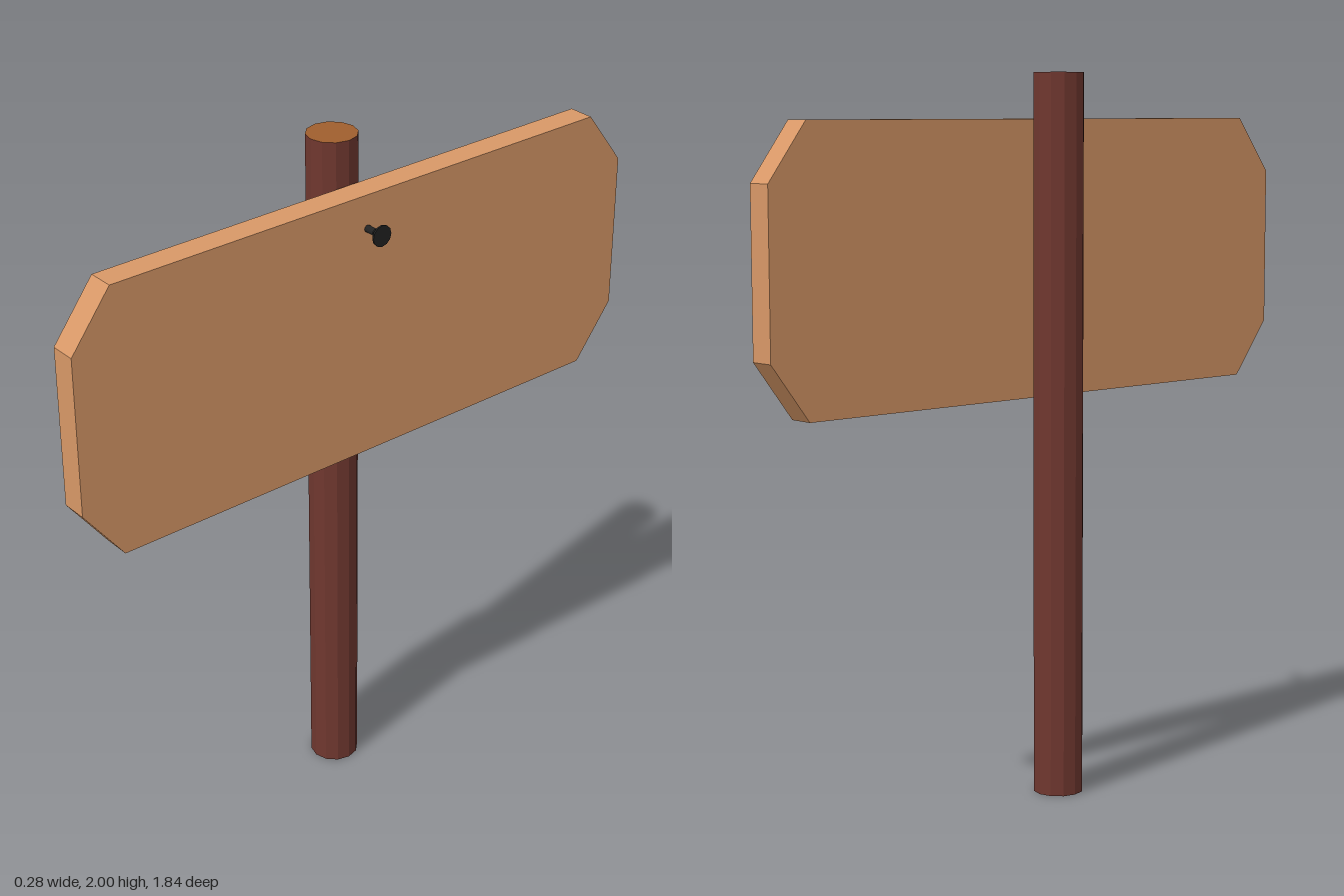
import * as THREE from 'three';

const mat = (name, color, flatShading = false) => {
  const m = new THREE.MeshStandardMaterial({ color });
  m.name = name;
  m.flatShading = flatShading;
  return m;
};

export function createModel() {
  const group = new THREE.Group();
  const bark = mat('dark red wood', 0x6f372f, true);
  const cutWood = mat('cut wood', 0xa05f2e, true);
  const plank = mat('light plank wood', 0xd89867, true);
  const iron = mat('black iron', 0x222222, true);

  const add = (name, geometry, material, x, y) => {
    const mesh = new THREE.Mesh(geometry, material);
    mesh.name = name;
    mesh.position.set(x, y, 0);
    group.add(mesh);
    return mesh;
  };

  // Round post with lighter cut ends
  add('post', new THREE.CylinderGeometry(0.07, 0.07, 2, 12), [bark, cutWood, cutWood], -0.07, 1);

  // Board with clipped corners, outlined in (z, y) and extruded along +x
  const w = 0.92, h = 0.3825, cw = 0.8, ch = 0.225;
  const outline = new THREE.Shape([
    [-cw, -h], [cw, -h], [w, -ch], [w, ch], [cw, h], [-cw, h], [-w, ch], [-w, -ch],
  ].map(([a, b]) => new THREE.Vector2(a, b)));
  const board = new THREE.ExtrudeGeometry(outline, { depth: 0.075, bevelEnabled: false });
  board.rotateY(Math.PI / 2);
  add('board', board, plank, 0, 1.4925);

  // Nail: thin shank with a flared head
  const profile = [[0, 0], [0.01, 0], [0.01, 0.032], [0.03, 0.055], [0.03, 0.06], [0, 0.06]]
    .map(([r, d]) => new THREE.Vector2(r, d));
  const nail = new THREE.LatheGeometry(profile, 12);
  nail.rotateZ(-Math.PI / 2);
  add('nail', nail, iron, 0.075, 1.78);

  return group;
}
